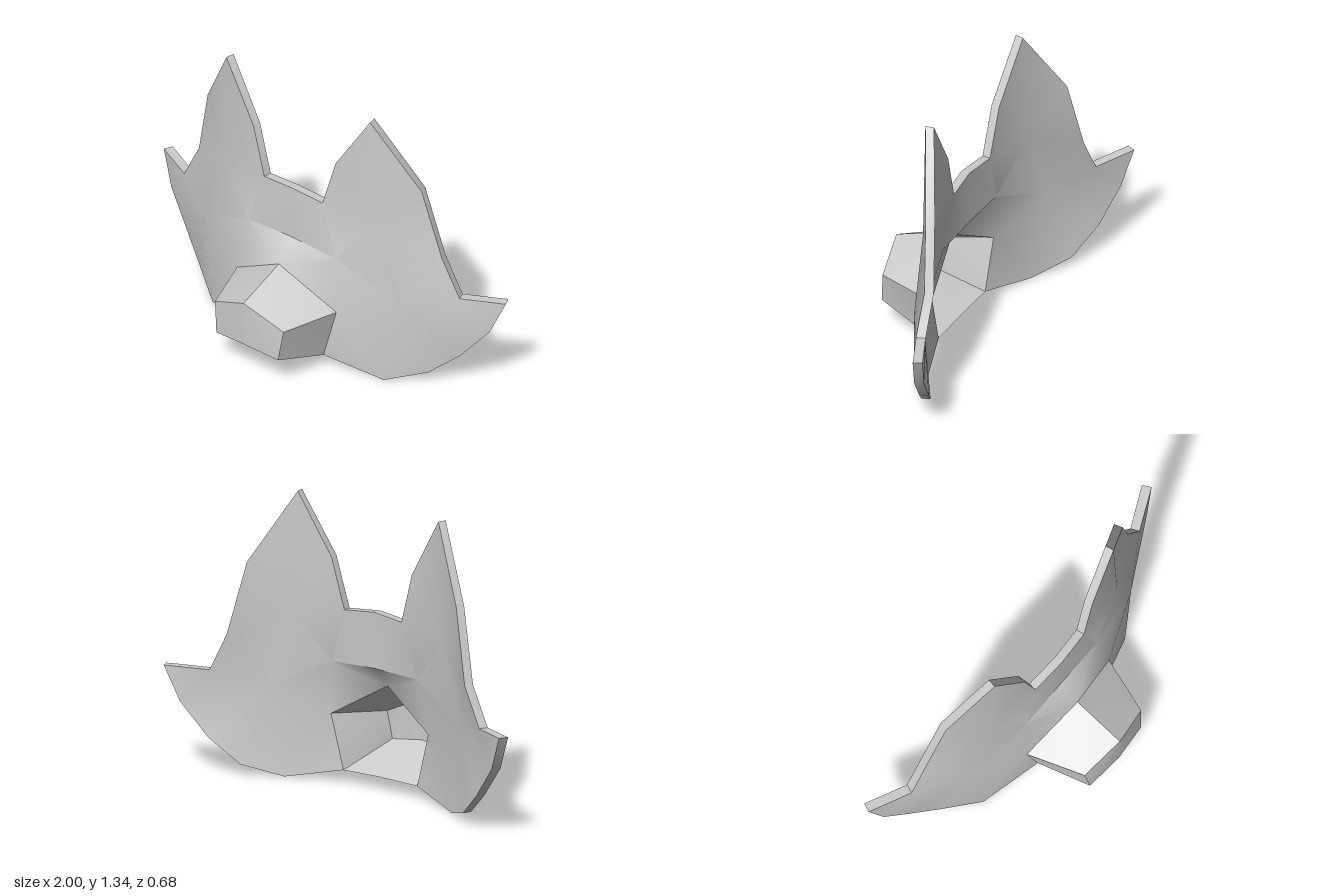
import * as THREE from 'three';
import { toCreasedNormals } from 'three/addons/utils/BufferGeometryUtils.js';

// Named points of the left half of the outer surface
const P = {
  browTop: [0, 0.84, 0], browLow: [0, 0.58, 0],
  earIn: [0.17, 0.825, -0.012], earInMid: [0.24, 1.06, -0.02], earTip: [0.42, 1.34, -0.045],
  earOutMid: [0.625, 1.0, -0.16], earOut: [0.71, 0.66, -0.2], notch: [0.805, 0.48, -0.21],
  cheekTip: [1, 0.487, -0.3], cheekA: [0.93, 0.325, -0.27], cheekB: [0.8, 0.17, -0.225],
  cheekC: [0.665, 0.055, -0.16], jaw: [0.5, 0.003, -0.045],
  earBase: [0.45, 0.78, -0.05], cheek: [0.58, 0.42, -0.075], eye: [0.25, 0.57, 0],
  // snout root and tip
  rootTop: [0, 0.48, 0.09], rootSide: [0.29, 0.315, 0.035], rootLow: [0.22, 0.063, 0.04], rootMid: [0, 0.067, 0.04],
  tipTop: [0, 0.39, 0.335], tipSide: [0.2, 0.3, 0.295], tipLow: [0.18, 0.15, 0.31], tipMid: [0, 0.17, 0.33],
};

const faceTris = [
  'browLow eye browTop', 'eye earIn browTop', 'eye earBase earIn', 'earIn earBase earInMid',
  'earBase earTip earInMid', 'earBase earOutMid earTip', 'earBase earOut earOutMid',
  'earBase cheek earOut', 'eye cheek earBase', 'cheek notch earOut', 'rootTop eye browLow',
  'rootTop rootSide eye', 'rootSide cheek eye', 'cheek cheekA notch', 'cheekA cheekTip notch',
  'cheek cheekB cheekA', 'cheek cheekC cheekB', 'cheek jaw cheekC', 'rootSide jaw cheek',
  'rootSide rootLow jaw',
];
const snoutTris = [
  'rootTop tipTop tipSide', 'rootTop tipSide rootSide', 'tipSide tipLow rootLow',
  'tipSide rootLow rootSide', 'tipLow tipMid rootMid', 'tipLow rootMid rootLow',
  'tipTop tipMid tipLow', 'tipTop tipLow tipSide',
];
const faceRim = 'rootLow jaw cheekC cheekB cheekA cheekTip notch earOut earOutMid earTip earInMid earIn browTop';
const snoutRim = 'rootMid rootLow';

// Matching point on the inside of the shell
function inner(name) {
  const [x, y, z] = P[name];
  if (name.startsWith('tip')) return [x * 0.87, 0.25 + (y - 0.25) * 0.87, z - 0.04];
  return [x * 0.98, y, z - 0.04];
}

// Outer skin, inner skin and rim wall, mirrored to both sides
function shell(name, tris, rim, crease) {
  const pos = [];
  const add = (a, b, c) => {
    pos.push(...a, ...b, ...c);
    for (const [x, y, z] of [a, c, b]) pos.push(-x, y, z);
  };
  for (const t of tris) {
    const [a, b, c] = t.split(' ');
    add(P[a], P[b], P[c]);
    add(inner(a), inner(c), inner(b));
  }
  const loop = rim.split(' ');
  for (let i = 0; i < loop.length - 1; i++) {
    const a = loop[i], b = loop[i + 1];
    add(P[a], inner(a), inner(b));
    add(P[a], inner(b), P[b]);
  }
  const geo = new THREE.BufferGeometry();
  geo.setAttribute('position', new THREE.Float32BufferAttribute(pos, 3));
  const mesh = new THREE.Mesh(
    toCreasedNormals(geo, crease),
    new THREE.MeshStandardMaterial({ color: 0xcccccc }),
  );
  mesh.name = name;
  return mesh;
}

export function createModel() {
  const mask = new THREE.Group();
  mask.name = 'animalMask';
  // Curved face plate with ears and cheek points
  mask.add(shell('facePlate', faceTris, faceRim, 0.65));
  // Faceted hollow snout
  mask.add(shell('snout', snoutTris, snoutRim, 0.3));
  return mask;
}
